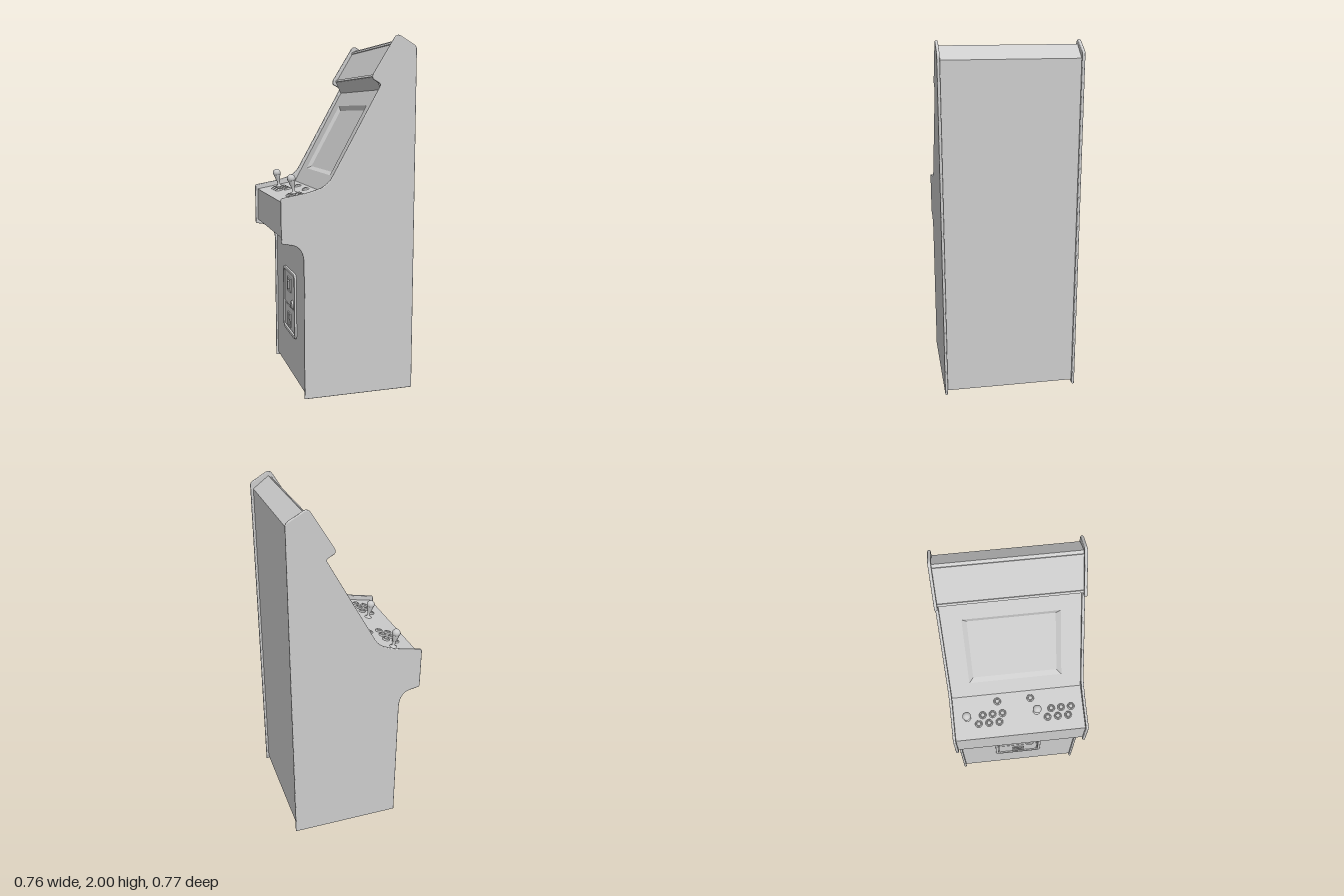
import * as THREE from 'three';

const grey = new THREE.MeshStandardMaterial({ color: 0xcccccc, side: THREE.DoubleSide });
grey.name = 'cabinet grey';

const HALF = 0.371; // half width between the side panels

function mesh(name, geometry, parent, x = 0, y = 0, z = 0) {
  const m = new THREE.Mesh(geometry, grey);
  m.name = name;
  m.position.set(x, y, z);
  parent.add(m);
  return m;
}

// Group lying on a profile segment: X across the cabinet, Y along a to b, Z outward
function segment(name, a, b, parent) {
  const g = new THREE.Group();
  g.name = name;
  const dx = b[0] - a[0], dy = b[1] - a[1], len = Math.hypot(dx, dy);
  const u = new THREE.Vector3(dx / len, dy / len, 0);
  const n = new THREE.Vector3(-u.y, u.x, 0);
  g.quaternion.setFromRotationMatrix(new THREE.Matrix4().makeBasis(new THREE.Vector3(0, 0, 1), u, n));
  g.position.set(a[0], a[1], 0);
  g.userData.length = len;
  parent.add(g);
  return g;
}

function panel(name, a, b, parent) {
  const g = segment(name, a, b, parent);
  const len = g.userData.length;
  mesh(name + 'Face', new THREE.PlaneGeometry(HALF * 2, len), g, 0, len / 2, 0);
  return g;
}

function rect(path, x0, y0, x1, y1) {
  path.moveTo(x0, y0);
  path.lineTo(x1, y0);
  path.lineTo(x1, y1);
  path.lineTo(x0, y1);
  path.closePath();
  return path;
}

function roundRect(path, w, h, r) {
  const x = w / 2, y = h / 2;
  path.moveTo(-x + r, -y);
  path.lineTo(x - r, -y);
  path.absarc(x - r, -y + r, r, -Math.PI / 2, 0, false);
  path.absarc(x - r, y - r, r, 0, Math.PI / 2, false);
  path.absarc(-x + r, y - r, r, Math.PI / 2, Math.PI, false);
  path.absarc(-x + r, -y + r, r, Math.PI, Math.PI * 1.5, false);
  return path;
}

// Side panel with a rounded edge
function sideGeometry() {
  const s = new THREE.Shape();
  s.moveTo(0.38, 0);
  s.lineTo(0.38, 1.925);
  s.quadraticCurveTo(0.38, 1.942, 0.365, 1.951);
  s.lineTo(0.285, 1.996);
  s.quadraticCurveTo(0.264, 2.006, 0.25, 1.985);
  s.lineTo(0.13, 1.79);
  s.quadraticCurveTo(0.12, 1.77, 0.135, 1.758);
  s.lineTo(0.163, 1.743);
  s.quadraticCurveTo(0.176, 1.735, 0.168, 1.72);
  s.lineTo(-0.1, 1.24);
  s.quadraticCurveTo(-0.122, 1.2, -0.165, 1.182);
  s.quadraticCurveTo(-0.22, 1.16, -0.29, 1.149);
  s.lineTo(-0.373, 1.134);
  s.quadraticCurveTo(-0.385, 1.132, -0.385, 1.12);
  s.lineTo(-0.385, 0.9);
  s.quadraticCurveTo(-0.385, 0.886, -0.372, 0.884);
  s.lineTo(-0.325, 0.876);
  s.quadraticCurveTo(-0.26, 0.862, -0.26, 0.77);
  s.lineTo(-0.26, 0);
  const g = new THREE.ExtrudeGeometry(s, {
    depth: 0.006, bevelSize: 0.005, bevelThickness: 0.005, bevelOffset: -0.005, bevelSegments: 3, curveSegments: 8,
  });
  return g.translate(0, 0, -0.003);
}

// Four sloping walls between an outer rectangle and a deeper inner one
function recessGeometry(o, i, depth) {
  const ring = (r, z) => [[r[0], r[1], z], [r[2], r[1], z], [r[2], r[3], z], [r[0], r[3], z]];
  const A = ring(o, 0), B = ring(i, -depth), pos = [];
  for (let k = 0; k < 4; k++) {
    const n = (k + 1) % 4;
    pos.push(...A[k], ...A[n], ...B[n], ...A[k], ...B[n], ...B[k]);
  }
  const g = new THREE.BufferGeometry();
  g.setAttribute('position', new THREE.Float32BufferAttribute(pos, 3));
  g.computeVertexNormals();
  return g;
}

// Push button: rounded collar with a plunger, axis along +Y
const buttonProfile = [[0.021, 0], [0.021, 0.004], [0.018, 0.008], [0.014, 0.008], [0.013, 0.005],
  [0.012, 0.005], [0.012, 0.011], [0.009, 0.013], [0, 0.012]].map(p => new THREE.Vector2(...p));
const stickProfile = [[0.021, 0], [0.019, 0.004], [0.009, 0.008], [0.008, 0.03], [0.014, 0.045],
  [0.02, 0.07], [0.02, 0.074], [0, 0.074]].map(p => new THREE.Vector2(...p));

export function createModel() {
  const root = new THREE.Group();
  root.name = 'arcadeCabinet';

  for (const s of [-1, 1]) mesh(s > 0 ? 'sidePanelA' : 'sidePanelB', sideGeometry(), root, 0, 0, s * 0.378);

  // Body skin, following the profile from the front foot to the back foot
  const P = {
    foot: [-0.247, 0.02], shelf: [-0.247, 0.91], lip: [-0.37, 0.91], edge: [-0.37, 1.105],
    hinge: [-0.127, 1.15], neck: [0.18, 1.707], brow: [0.148, 1.775], crown: [0.262, 1.965],
    top: [0.275, 1.975], rear: [0.365, 1.908], heel: [0.365, 0.02],
  };
  const front = panel('lowerFront', P.foot, P.shelf, root);
  panel('controlBoxUnderside', P.shelf, P.lip, root);
  panel('controlBoxFront', P.lip, P.edge, root);
  const deck = panel('controlDeck', P.edge, P.hinge, root);
  const bezel = segment('screenBezel', P.hinge, P.neck, root);
  panel('marqueeUnderside', P.neck, P.brow, root);
  const marquee = panel('marquee', P.brow, P.crown, root);
  panel('marqueeTrim', P.crown, P.top, root);
  panel('roof', P.top, P.rear, root);
  panel('backPanel', P.rear, P.heel, root);

  // Marquee retaining strips
  const mLen = marquee.userData.length;
  for (const y of [0.008, mLen - 0.008]) mesh('marqueeStrip', new THREE.BoxGeometry(HALF * 2, 0.014, 0.006), marquee, 0, y, 0.002);

  // Bezel with the sunken screen
  const outer = [-0.261, 0.101, 0.261, 0.542], inner = [-0.236, 0.126, 0.236, 0.517];
  const face = rect(new THREE.Shape(), -HALF, 0, HALF, bezel.userData.length);
  face.holes.push(rect(new THREE.Path(), ...outer));
  mesh('bezelFace', new THREE.ShapeGeometry(face), bezel);
  mesh('screenSurround', recessGeometry(outer, inner, 0.016), bezel);
  mesh('screen', new THREE.PlaneGeometry(0.472, 0.391), bezel, 0, 0.3215, -0.016);

  // Controls, placed by x and z on the sloping deck
  const cos = (P.hinge[0] - P.edge[0]) / deck.userData.length;
  const put = (name, geometry, x, z, lift = 0) => {
    const m = mesh(name, geometry, deck, z, (x - P.edge[0]) / cos, lift);
    m.rotation.x = Math.PI / 2;
    return m;
  };
  const button = new THREE.LatheGeometry(buttonProfile, 20);
  const stick = new THREE.LatheGeometry(stickProfile, 20);
  const ball = new THREE.SphereGeometry(0.024, 20, 14);
  for (const [jz, startZ, firstZ, secondZ] of [[-0.294, -0.115, -0.232, -0.205], [0.103, 0.075, 0.162, 0.188]]) {
    for (let i = 0; i < 3; i++) {
      put('button', button, -0.287, firstZ + i * 0.059);
      put('button', button, -0.24, secondZ + i * 0.0565);
    }
    put('startButton', button, -0.171, startZ);
    put('joystickShaft', stick, -0.247, jz);
    put('joystickBall', ball, -0.247, jz, 0.085);
  }

  // Coin door on the lower front
  const door = new THREE.Group();
  door.name = 'coinDoor';
  door.position.set(0, 0.44, 0);
  front.add(door);
  const frame = roundRect(new THREE.Shape(), 0.3, 0.39, 0.03);
  frame.holes.push(roundRect(new THREE.Path(), 0.264, 0.354, 0.02));
  mesh('doorFrame', new THREE.ExtrudeGeometry(frame, {
    depth: 0.009, bevelSize: 0.004, bevelThickness: 0.004, bevelOffset: -0.004, bevelSegments: 2, curveSegments: 5,
  }), door);
  mesh('upperDoor', new THREE.BoxGeometry(0.25, 0.196, 0.008), door, 0, 0.074, 0.002);
  mesh('lowerDoor', new THREE.BoxGeometry(0.25, 0.138, 0.008), door, 0, -0.1, 0.002);
  const slot = rect(new THREE.Shape(), -0.045, -0.042, 0.045, 0.042);
  slot.holes.push(rect(new THREE.Path(), -0.032, -0.03, 0.032, 0.03));
  const slotGeo = new THREE.ExtrudeGeometry(slot, { depth: 0.008, bevelEnabled: false });
  mesh('coinSlotFrame', slotGeo, door, 0, 0.105, 0.005);
  mesh('coinButton', new THREE.BoxGeometry(0.03, 0.045, 0.016), door, 0, 0.105, 0.012);
  mesh('coinReturnFrame', slotGeo, door, 0, -0.11, 0.005).scale.set(0.85, 0.95, 1);
  mesh('coinReturnFlap', new THREE.BoxGeometry(0.05, 0.03, 0.006), door, 0, -0.1, 0.007);
  const lock = mesh('lock', new THREE.CylinderGeometry(0.022, 0.028, 0.012, 20), door, 0.075, 0.0, 0.01);
  lock.rotation.x = Math.PI / 2;

  return root;
}
